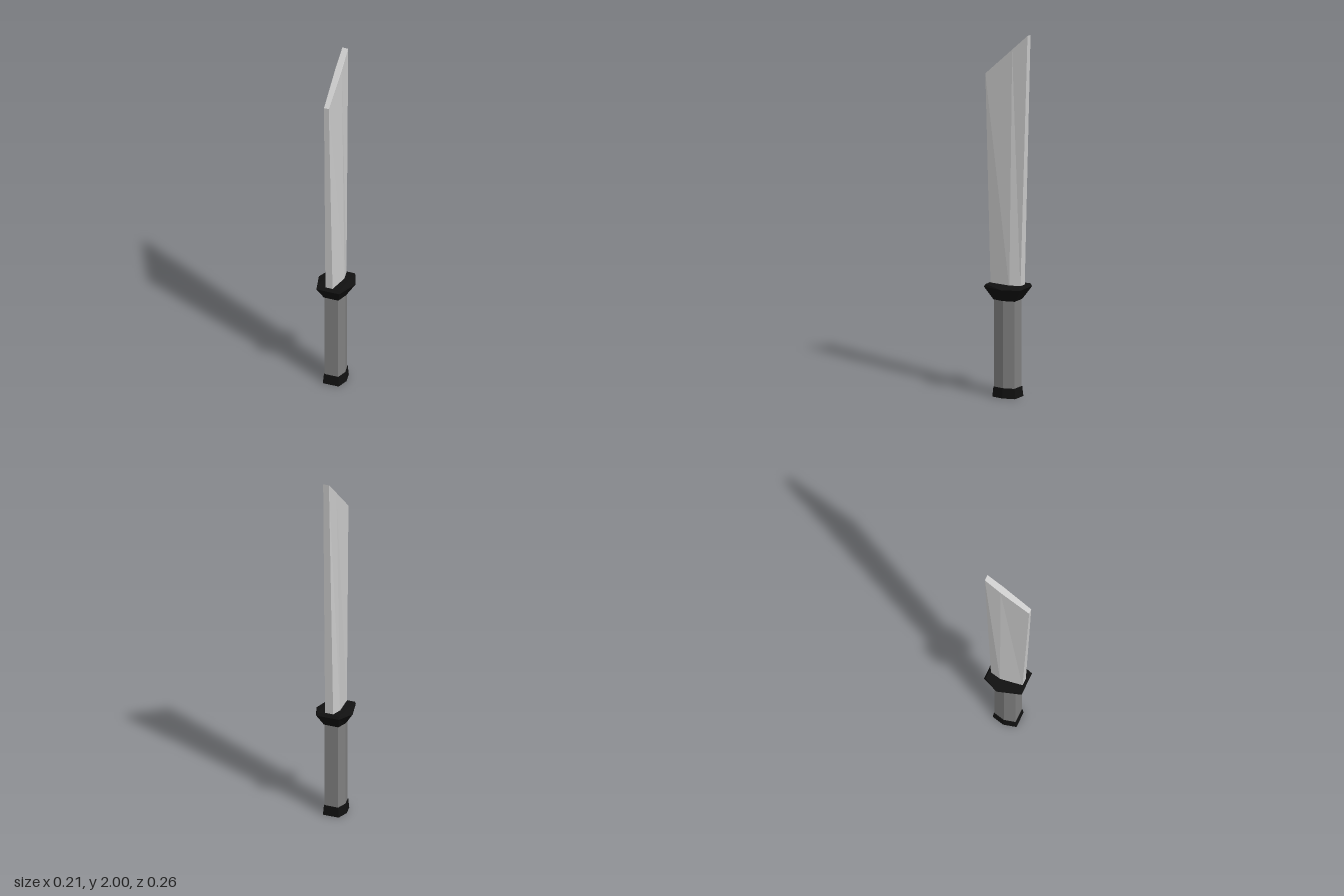
import * as THREE from 'three';

// Six-sided ring from three mirrored [x, y, z] points: side ridge, front corner, back corner
function hexRing(side, front, back) {
  const flip = ([x, y, z]) => [-x, y, z];
  return [side, front, flip(front), flip(side), flip(back), back];
}

// Skin a stack of hexagonal rings (bottom to top) and cap both ends
function loft(name, color, rings) {
  const index = [];
  for (let r = 0; r < rings.length - 1; r++) {
    for (let i = 0; i < 6; i++) {
      const a = r * 6 + i, b = r * 6 + (i + 1) % 6;
      index.push(a, a + 6, b + 6, a, b + 6, b);
    }
  }
  const top = (rings.length - 1) * 6;
  for (const [a, b, c] of [[0, 5, 1], [1, 5, 4], [1, 4, 2], [2, 4, 3]]) {
    index.push(top + a, top + b, top + c, a, c, b);
  }
  const geometry = new THREE.BufferGeometry();
  geometry.setAttribute('position', new THREE.Float32BufferAttribute(rings.flat(2), 3));
  geometry.setIndex(index);
  geometry.computeVertexNormals();
  const mesh = new THREE.Mesh(geometry, new THREE.MeshStandardMaterial({ color, flatShading: true }));
  mesh.name = name;
  return mesh;
}

// Level ring with the same corner width and depth at front and back
const levelRing = (y, sideX, cornerX, depth) =>
  hexRing([sideX, y, 0], [cornerX, y, depth], [cornerX, y, -depth]);

export function createModel() {
  const group = new THREE.Group();
  group.name = 'machete';

  // Flared end cap of the handle
  group.add(loft('pommel', 0x111111, [
    levelRing(0, 0.063, 0.046, 0.07),
    levelRing(0.055, 0.058, 0.042, 0.065),
  ]));

  // Straight handle
  group.add(loft('grip', 0x808080, [
    levelRing(0.05, 0.055, 0.04, 0.062),
    levelRing(0.54, 0.055, 0.04, 0.062),
  ]));

  // Guard flaring to pointed sides, with a shallow bevel on top
  group.add(loft('guard', 0x111111, [
    levelRing(0.535, 0.058, 0.042, 0.065),
    hexRing([0.107, 0.605, -0.02], [0.067, 0.605, 0.11], [0.067, 0.605, -0.112]),
    hexRing([0.107, 0.605, -0.02], [0.065, 0.62, 0.1], [0.065, 0.62, -0.102]),
  ]));

  // Blade widening upward, thinning, and ending in a slanted cut
  group.add(loft('blade', 0xcccccc, [
    hexRing([0.038, 0.6, -0.03], [0.021, 0.6, 0.094], [0.024, 0.6, -0.09]),
    hexRing([0.019, 1.915, -0.037], [0.014, 1.765, 0.13], [0.017, 2, -0.13]),
  ]));

  return group;
}
